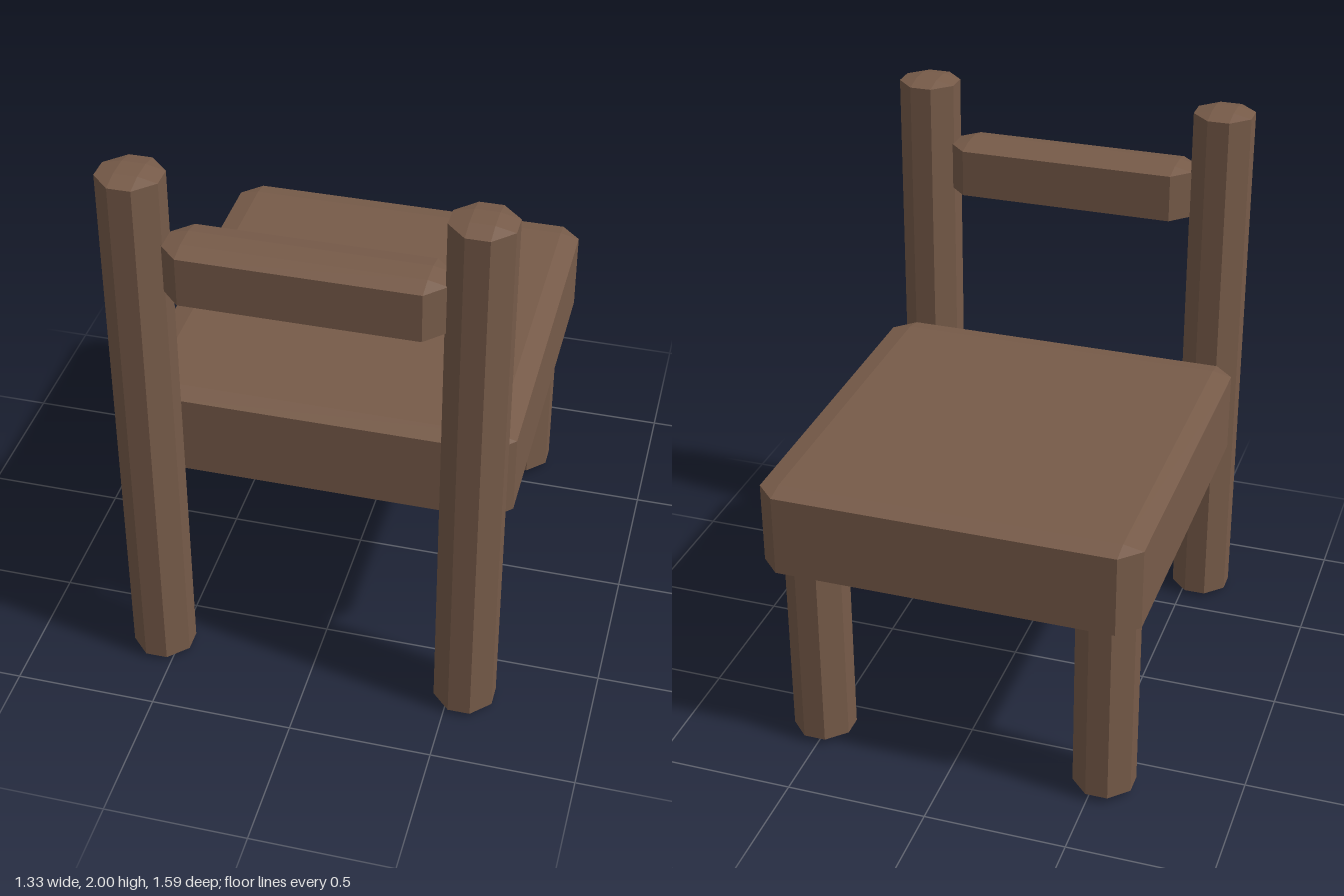
import * as THREE from 'three';
import { ConvexGeometry } from 'three/addons/geometries/ConvexGeometry.js';

const wood = new THREE.MeshStandardMaterial({ color: 0x775b49, flatShading: true });

// Block with every edge chamfered: b across x and z, by along y.
// Each corner contributes three points, one on each adjoining face.
function chamferedBlock(name, [x0, x1], [y0, y1], [z0, z1], b = 0.065, by = 0.015) {
  const w = (x1 - x0) / 2, h = (y1 - y0) / 2, d = (z1 - z0) / 2;
  const points = [];
  for (const sx of [-1, 1]) for (const sy of [-1, 1]) for (const sz of [-1, 1]) {
    points.push(
      new THREE.Vector3(sx * w, sy * (h - by), sz * (d - b)),
      new THREE.Vector3(sx * (w - b), sy * h, sz * (d - b)),
      new THREE.Vector3(sx * (w - b), sy * (h - by), sz * d));
  }
  const mesh = new THREE.Mesh(new ConvexGeometry(points), wood);
  mesh.name = name;
  mesh.position.set((x0 + x1) / 2, (y0 + y1) / 2, (z0 + z1) / 2);
  return mesh;
}

export function createModel() {
  const chair = new THREE.Group();
  chair.name = 'chair';

  // Thick seat slab
  chair.add(chamferedBlock('seat', [-0.667, 0.663], [0.725, 1.047], [-0.797, 0.587], 0.07));

  // Tall posts that run from the floor to the top of the backrest
  for (const [side, x] of [['left', 0.555], ['right', -0.555]]) {
    chair.add(chamferedBlock(side + 'BackPost', [x - 0.104, x + 0.104], [0, 2], [0.588, 0.795]));
  }

  // Short legs under the far end of the seat
  for (const [side, x] of [['left', 0.508], ['right', -0.534]]) {
    chair.add(chamferedBlock(side + 'ShortLeg', [x - 0.104, x + 0.104], [0.01, 0.735], [-0.747, -0.54]));
  }

  // Backrest rail between the posts
  chair.add(chamferedBlock('backRail', [-0.455, 0.46], [1.573, 1.775], [0.588, 0.797]));

  return chair;
}
